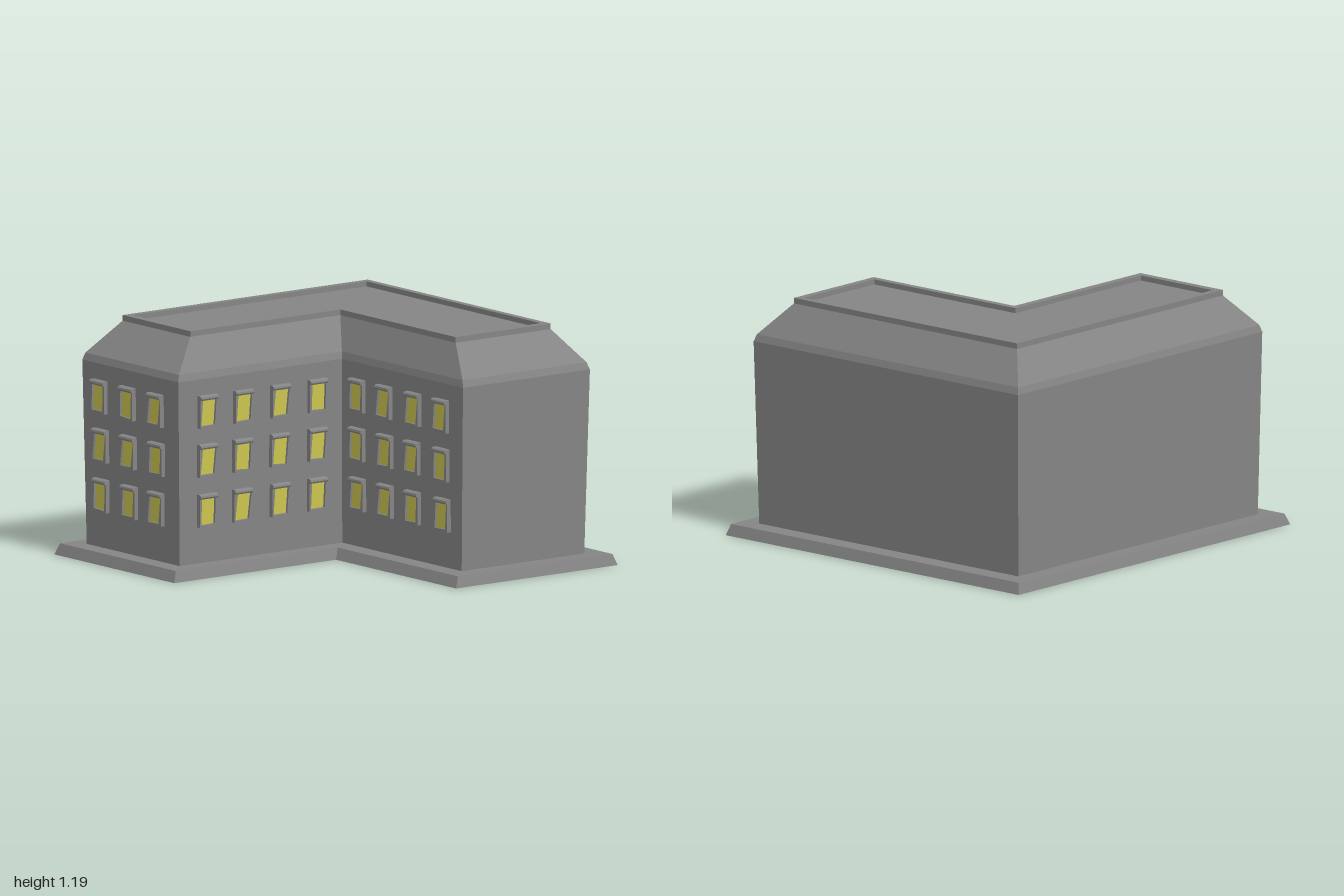
import * as THREE from 'three';

const stone = new THREE.MeshStandardMaterial({ name: 'grey stone', color: 0x858585, side: THREE.DoubleSide });
const glass = new THREE.MeshStandardMaterial({ name: 'yellow window light', color: 0xcbc350, side: THREE.DoubleSide });

// L-shaped ring at height y: left, right, back, front edges and the courtyard corner (cx, cz)
function ring(y, left, right, back, front, cx, cz) {
  return [[left, back], [right, back], [right, cz], [cx, cz], [cx, front], [left, front]]
    .map(([x, z]) => [x, y, z]);
}

// Flat-faced skin through successive rings, optionally closed at the end
function loft(name, rings, cap = false) {
  const pos = [];
  for (let r = 0; r < rings.length - 1; r++) {
    const a = rings[r], b = rings[r + 1];
    for (let i = 0; i < 6; i++) {
      const j = (i + 1) % 6;
      pos.push(...a[i], ...b[i], ...b[j], ...a[i], ...b[j], ...a[j]);
    }
  }
  if (cap) {
    const t = rings[rings.length - 1];
    for (const [i, j] of [[4, 5], [5, 0], [0, 1], [1, 2]]) pos.push(...t[3], ...t[j], ...t[i]);
  }
  const geo = new THREE.BufferGeometry();
  geo.setAttribute('position', new THREE.Float32BufferAttribute(pos, 3));
  geo.computeVertexNormals();
  const mesh = new THREE.Mesh(geo, stone);
  mesh.name = name;
  return mesh;
}

let seed = 7;
function jitter(amount) {
  seed = (seed * 16807) % 2147483647;
  return (seed / 2147483647 - 0.5) * 2 * amount;
}

// Framed window facing +z, its back on z = 0
function makeWindow(name) {
  const g = new THREE.Group();
  g.name = name;
  const w = 0.042, h = 0.064, lean = 0.005 + jitter(0.004);
  const opening = [
    [-w - lean, -h + jitter(0.003)], [w - lean, -h + jitter(0.003)],
    [w + lean, h + jitter(0.003)], [-w + lean, h + jitter(0.003)],
  ].map(([x, y]) => new THREE.Vector2(x, y));

  const outline = new THREE.Shape([[-0.054, -0.076], [0.054, -0.076], [0.054, 0.076], [-0.054, 0.076]]
    .map(([x, y]) => new THREE.Vector2(x, y)));
  outline.holes.push(new THREE.Path(opening));
  const frame = new THREE.Mesh(
    new THREE.ExtrudeGeometry(outline, { depth: 0.029, bevelEnabled: false }), stone);
  frame.name = 'windowFrame';
  frame.position.z = -0.006;

  // Small hood with a sloping top over the frame
  const profile = new THREE.Shape([[0, -0.016], [0.027, -0.016], [0.032, -0.008], [0.03, 0.001], [0.02, 0.007], [0, 0.007]]
    .map(([x, y]) => new THREE.Vector2(x, y)));
  const hoodGeo = new THREE.ExtrudeGeometry(profile, { depth: 0.108, bevelEnabled: false });
  hoodGeo.translate(0, 0, -0.054).rotateY(-Math.PI / 2);
  const hood = new THREE.Mesh(hoodGeo, stone);
  hood.name = 'windowHood';
  hood.position.y = 0.08;

  const pane = new THREE.Mesh(new THREE.ShapeGeometry(new THREE.Shape(opening)), glass);
  pane.name = 'windowPane';
  pane.position.z = 0.011;
  g.add(frame, hood, pane);
  return g;
}

export function createModel() {
  const model = new THREE.Group();
  model.name = 'building';

  // Hollow plinth with sloping sides
  model.add(loft('plinth', [
    ring(0, -0.955, 0.955, -1, 1, 0, 0),
    ring(0.055, -0.938, 0.938, -0.98, 0.977, -0.018, -0.025),
    ring(0.055, -0.847, 0.843, -0.88, 0.883, -0.107, -0.122),
  ]));

  // Walls flaring slightly upward
  const eaves = ring(0.97, -0.864, 0.862, -0.9, 0.897, -0.1, -0.115);
  model.add(loft('walls', [
    ring(0.055, -0.847, 0.843, -0.88, 0.883, -0.107, -0.122), eaves,
  ]));

  // Sloping roof with a softened eaves line
  const roofTop = ring(1.162, -0.748, 0.708, -0.777, 0.738, -0.21, -0.19);
  model.add(loft('roofSlopes', [
    eaves, ring(1.005, -0.854, 0.85, -0.889, 0.886, -0.11, -0.122), roofTop,
  ]));

  // Low parapet around the flat roof
  model.add(loft('parapetAndFlatRoof', [
    roofTop,
    ring(1.19, -0.748, 0.708, -0.777, 0.738, -0.21, -0.19),
    ring(1.19, -0.713, 0.673, -0.743, 0.7, -0.247, -0.225),
    ring(1.165, -0.713, 0.673, -0.743, 0.7, -0.247, -0.225),
  ], true));

  // Three storeys of windows on the front and both courtyard walls
  for (const y of [0.312, 0.56, 0.803]) {
    const t = (y - 0.055) / 0.915;
    for (const x of [-0.715, -0.49, -0.272]) {
      const win = makeWindow('frontWindow');
      win.position.set(x + jitter(0.006), y, 0.883 + 0.014 * t);
      model.add(win);
    }
    for (const x of [0.032, 0.247, 0.47, 0.7]) {
      const win = makeWindow('courtyardBackWindow');
      win.position.set(x + jitter(0.006), y, -0.122 + 0.007 * t);
      model.add(win);
    }
    for (const z of [0.727, 0.505, 0.275, 0.045]) {
      const win = makeWindow('courtyardSideWindow');
      win.position.set(-0.107 + 0.007 * t, y, z + jitter(0.004));
      win.rotation.y = Math.PI / 2;
      model.add(win);
    }
  }
  return model;
}
